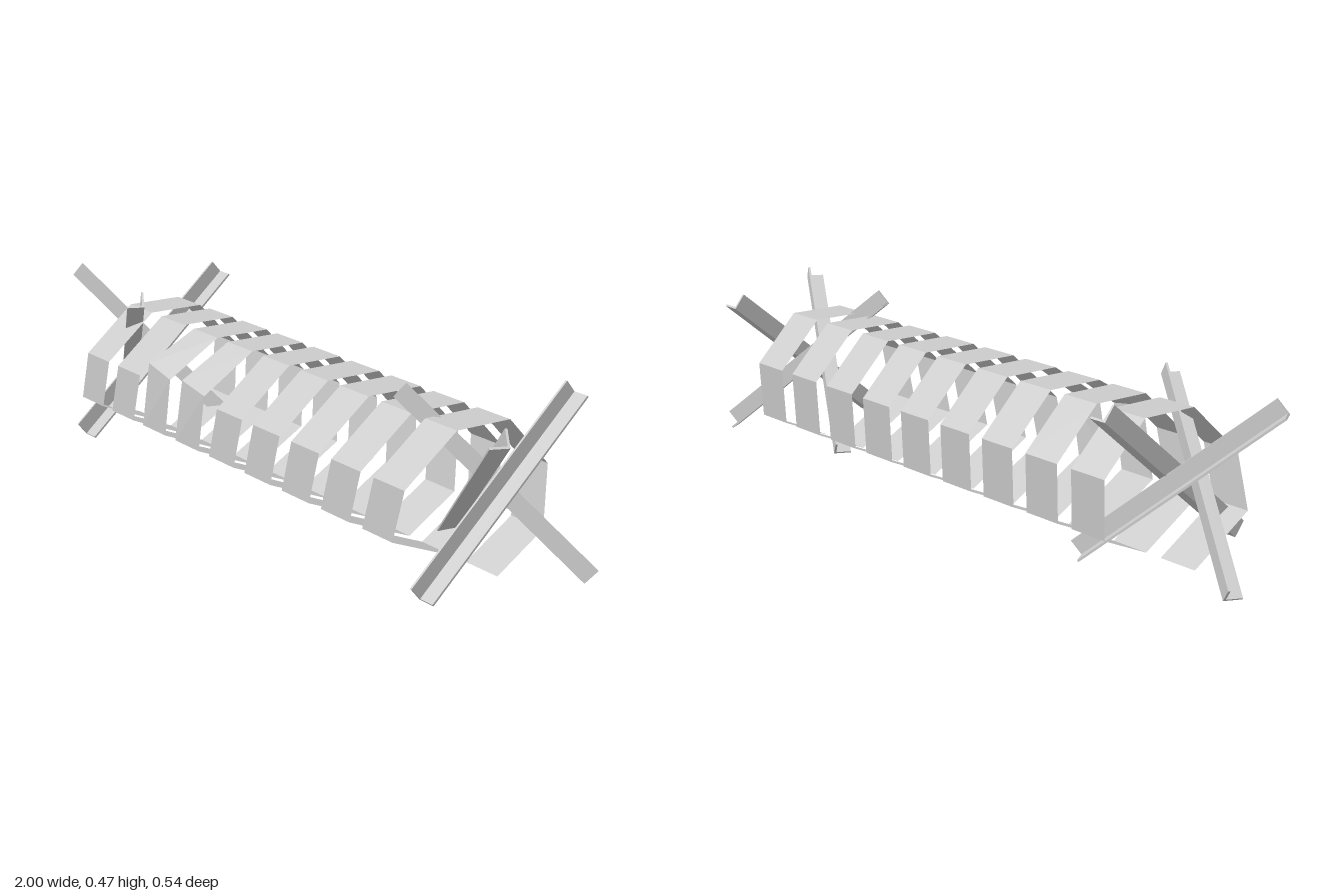
import * as THREE from 'three';

const V = (x, y, z) => new THREE.Vector3(x, y, z);
const metal = new THREE.MeshStandardMaterial({ color: 0xcccccc, flatShading: true });
const ribbon = new THREE.MeshStandardMaterial({ color: 0xcccccc, flatShading: true, side: THREE.DoubleSide });

// Angle iron: its corner runs from start to end, its two legs lie along u and v
function angleIron(name, start, end, u, v) {
  const along = end.clone().sub(start);
  const length = along.length(), leg = 0.05, t = 0.006;
  const d = along.normalize();
  const a = u.clone().addScaledVector(d, -u.dot(d)).normalize();
  let b = new THREE.Vector3().crossVectors(d, a);
  let first = a;
  if (b.dot(v) < 0) { // keep the basis right-handed; the section is symmetric
    b.negate();
    first = b;
    b = a;
  }
  const shape = new THREE.Shape(
    [[0, 0], [leg, 0], [leg, t], [t, t], [t, leg], [0, leg]].map(([x, y]) => new THREE.Vector2(x, y)));
  const geo = new THREE.ExtrudeGeometry(shape, { depth: length, bevelEnabled: false });
  geo.applyMatrix4(new THREE.Matrix4().makeBasis(first, b, d).setPosition(start));
  const mesh = new THREE.Mesh(geo, metal);
  mesh.name = name;
  return mesh;
}

// Three crossed beams
function hedgehog(name, x) {
  const g = new THREE.Group();
  g.name = name;
  g.add(
    angleIron('crossBeam', V(0.035, 0.003, 0.237), V(0.035, 0.427, -0.27), V(1, 0, 0), V(0, 0.038, 0.033)),
    angleIron('outwardBeam', V(-0.215, 0.002, -0.11), V(0.228, 0.427, 0.143),
      V(-0.025, 0, 0.045), V(-0.0255, 0.035, -0.015)),
    angleIron('inwardBeam', V(0.218, 0.002, -0.145), V(-0.22, 0.427, 0.108),
      V(-0.025, 0, -0.045), V(0.025, 0.038, -0.02)));
  g.position.x = x;
  return g;
}

// Flat ribbon wound in a seven-sided spiral
function coil() {
  const turns = 9, pitch = 0.1645, width = 0.115, x0 = -0.79;
  // One turn, starting at the lowest corner: [x advance, y, z]
  const section = [
    [0, 0, -0.01], [0.016, 0.1, 0.21], [0.057, 0.25, 0.21], [0.098, 0.388, 0.08],
    [0.118, 0.388, -0.08], [0.138, 0.25, -0.2], [0.152, 0.08, -0.18],
  ];
  // Bent spots on the front: turn -> heights of the left and right edge
  const bends = { 2: [0.3, 0.28], 3: [0.29, 0.275] };
  const edges = [];
  for (let i = 0; i < turns; i++) {
    section.forEach(([dx, y, z], k) => {
      const bend = k === 2 && bends[i];
      const [ya, yb] = bend || [y, y];
      const x = x0 + i * pitch + dx;
      edges.push([V(x, ya, z), V(x + width, yb, bend ? z + 0.007 : z)]);
    });
  }
  const xEnd = x0 + turns * pitch;
  edges.push([V(xEnd, 0, -0.01), V(xEnd + width, 0, -0.01)]);

  const pts = [];
  for (let i = 0; i + 1 < edges.length; i++) {
    const [a, b] = edges[i], [c, d] = edges[i + 1];
    pts.push(a, b, d, a, d, c);
  }
  const geo = new THREE.BufferGeometry().setFromPoints(pts);
  geo.computeVertexNormals();
  const mesh = new THREE.Mesh(geo, ribbon);
  mesh.name = 'wireCoil';
  return mesh;
}

export function createModel() {
  const model = new THREE.Group();
  model.name = 'coilBarricade';
  model.add(hedgehog('rightHedgehog', -0.75), hedgehog('leftHedgehog', 0.755), coil());
  return model;
}
